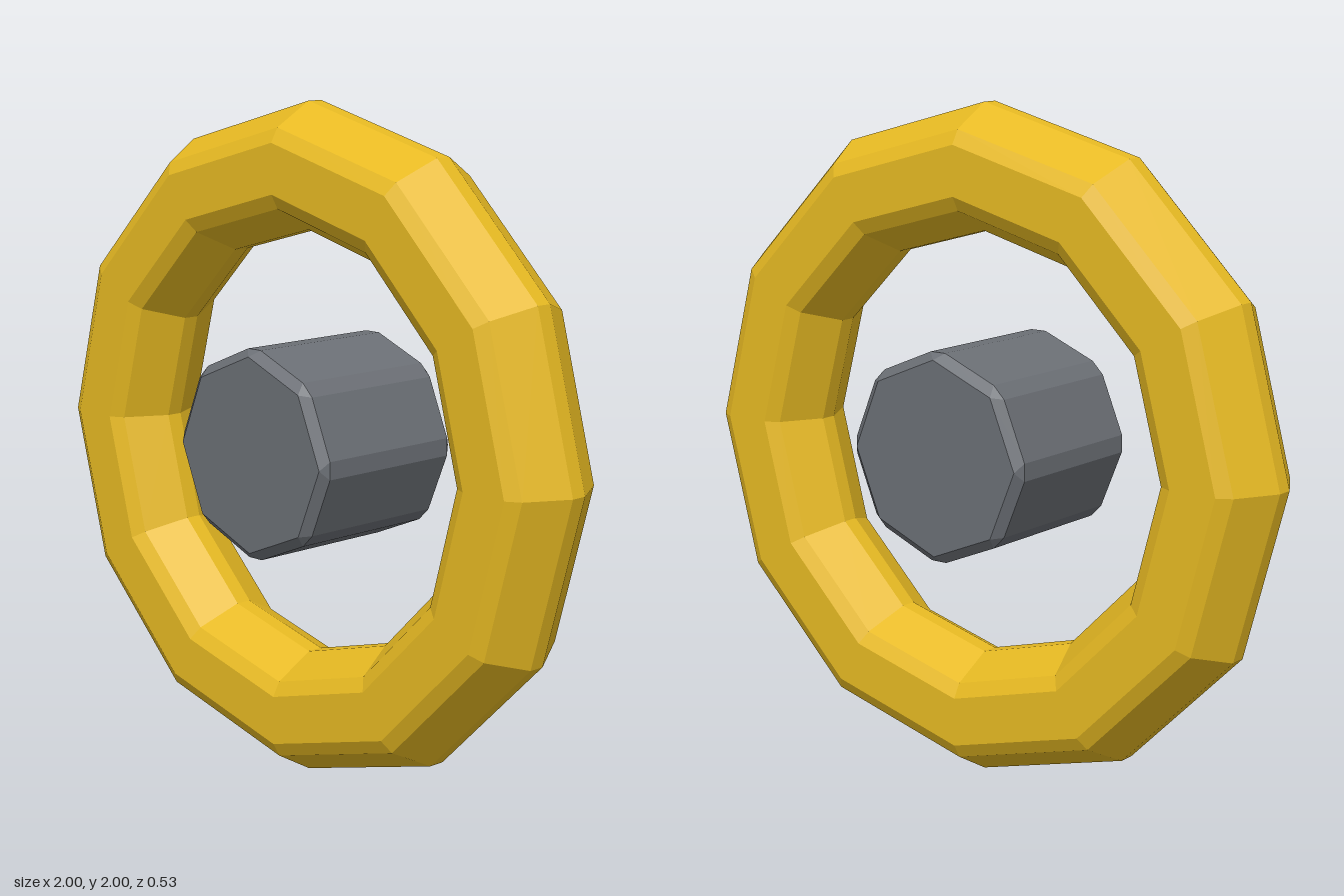
import * as THREE from 'three';
import { ConvexGeometry } from 'three/addons/geometries/ConvexGeometry.js';

const CENTRE_Y = 1;

// Twelve-sided ring whose hexagonal section has bevelled corners
function createRing() {
  const upperHalf = [[1, 0.025], [0.93, 0.148], [0.888, 0.172], [0.742, 0.172], [0.7, 0.148], [0.632, 0.025]];
  const lowerHalf = upperHalf.map(([r, z]) => [r, -z]).reverse();
  const profile = [...upperHalf, ...lowerHalf, upperHalf[0]].map(([r, z]) => new THREE.Vector2(r, z));
  const geometry = new THREE.LatheGeometry(profile, 12);
  geometry.rotateX(Math.PI / 2);
  const ring = new THREE.Mesh(geometry, new THREE.MeshStandardMaterial({ color: 0xe6b922, flatShading: true }));
  ring.name = 'ring';
  return ring;
}

// Eight-sided hub with bevelled long edges and bevelled ends
function createHub() {
  const axis = new THREE.Vector3(0, 0, 1);
  const points = [];
  for (let i = 0; i < 8; i++) {
    for (const side of [-1, 1]) {
      const corner = [
        new THREE.Vector3(0.307, 0.026, side * 0.24),
        new THREE.Vector3(0.307, -0.026, side * 0.24),
        new THREE.Vector3(0.288, 0, side * 0.264),
      ];
      points.push(...corner.map((p) => p.applyAxisAngle(axis, (i * Math.PI) / 4)));
    }
  }
  const hub = new THREE.Mesh(
    new ConvexGeometry(points),
    new THREE.MeshStandardMaterial({ color: 0x6b6f75, flatShading: true })
  );
  hub.name = 'hub';
  return hub;
}

export function createModel() {
  const model = new THREE.Group();
  model.name = 'ringWithHub';
  for (const part of [createRing(), createHub()]) {
    part.position.y = CENTRE_Y;
    model.add(part);
  }
  return model;
}
